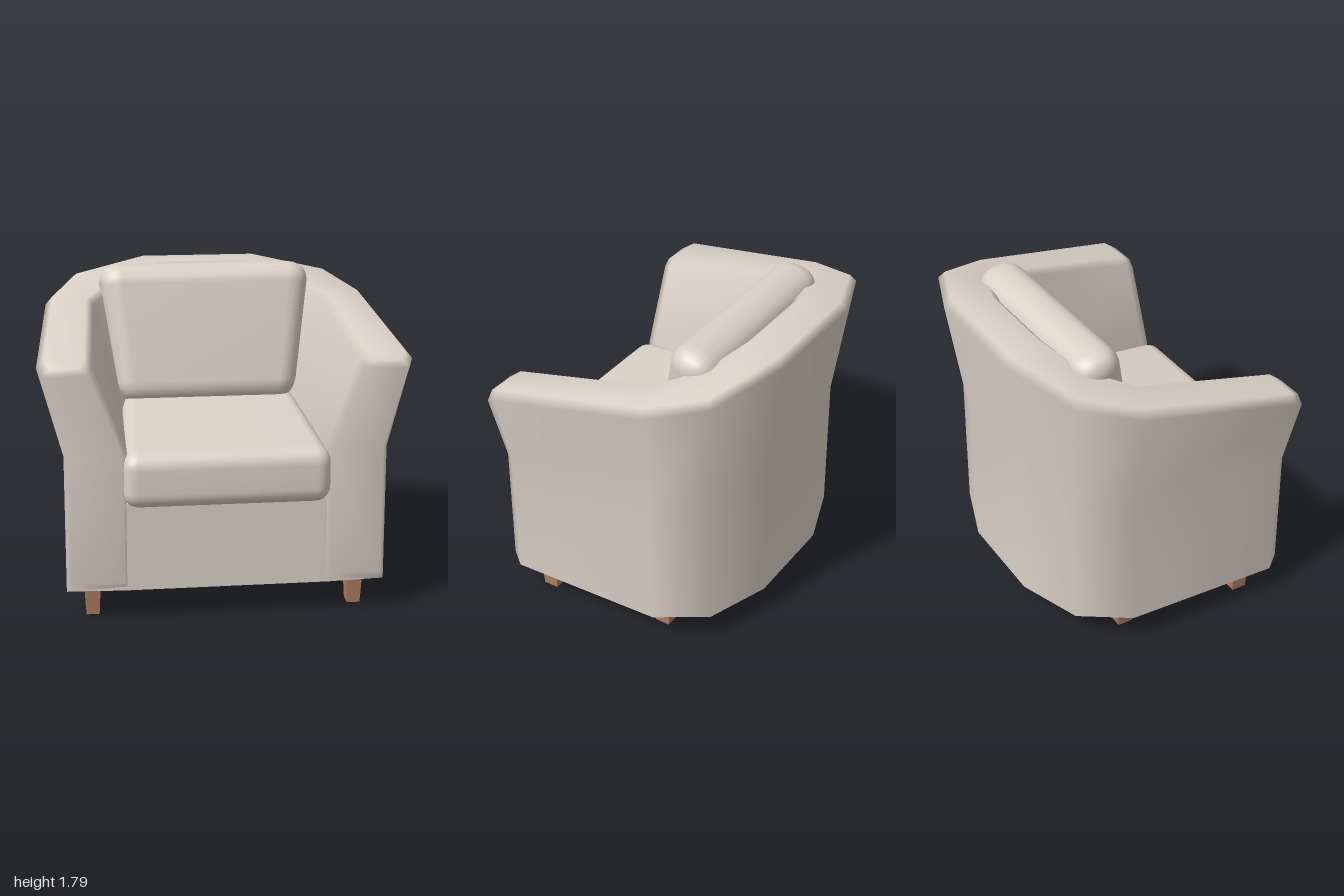
import * as THREE from 'three';
import { mergeVertices } from 'three/addons/utils/BufferGeometryUtils.js';
import { RoundedBoxGeometry } from 'three/addons/geometries/RoundedBoxGeometry.js';

const BOTTOM = 0.17;

// Half of the U-shaped wall, front to back: [x, z] of each edge and the top height
const stations = [
  { foot: [0.87, 0.65], rim: [1.0, 0.63], innerRim: [0.71, 0.64], innerFoot: [0.535, 0.65], top: 1.45, waist: 0.93 },
  { foot: [0.83, -0.25], rim: [0.925, -0.27], innerRim: [0.66, -0.16], innerFoot: [0.5, -0.08], top: 1.62, waist: 0.95 },
  { foot: [0.65, -0.52], rim: [0.77, -0.58], innerRim: [0.5, -0.37], innerFoot: [0.4, -0.26], top: 1.7, waist: 0.98 },
  { foot: [0.285, -0.648], rim: [0.345, -0.748], innerRim: [0.23, -0.47], innerFoot: [0.2, -0.36], top: 1.775, waist: 1.0 },
];

// Closed cross-section: up the outside, over the rounded rim, down the inside
function section({ foot, rim, innerRim, innerFoot, top, waist }) {
  const a = new THREE.Vector2(...rim), b = new THREE.Vector2(...innerRim);
  const inset = b.clone().sub(a).setLength(0.04);
  const p = (v, y) => new THREE.Vector3(v.x, y, v.y);
  const f = new THREE.Vector2(...foot), g = new THREE.Vector2(...innerFoot);
  return [
    p(f, BOTTOM), p(f, waist), p(a, top - 0.045), p(a.clone().add(inset), top),
    p(b.clone().sub(inset), top), p(b, top - 0.035), p(g, waist), p(g, BOTTOM),
  ];
}

// Slightly smaller section that rounds off the front of an arm
function armFront(ring) {
  return ring.map((v, i) => {
    const x = v.x + (i < 4 ? -0.03 : 0.025);
    const y = i === 0 || i === 7 ? v.y + 0.06 : i > 1 && i < 6 ? v.y - 0.04 : v.y;
    return new THREE.Vector3(x, y, 0.708 - 0.01 * y);
  });
}

function wallGeometry() {
  const half = stations.map(section);
  half.unshift(armFront(half[0]));
  const mirrored = half.map((r) => r.map((v) => new THREE.Vector3(-v.x, v.y, v.z))).reverse();
  const rings = [...half, ...mirrored];
  const last = rings.length - 1;
  const index = [];
  const quad = (a, b, c, d) => index.push(a, b, c, a, c, d);
  for (let s = 0; s < last; s++) {
    const sides = s === 0 || s === last - 1 ? 8 : 7;
    for (let j = 0; j < sides; j++) {
      const k = (j + 1) % 8;
      quad(s * 8 + j, s * 8 + 8 + j, s * 8 + 8 + k, s * 8 + k);
    }
  }
  // front faces of both arms
  for (let k = 0; k < 3; k++) {
    const e = last * 8;
    quad(k, k + 1, 6 - k, 7 - k);
    quad(e + 7 - k, e + 6 - k, e + k + 1, e + k);
  }
  const geo = new THREE.BufferGeometry().setFromPoints(rings.flat());
  geo.setIndex(index);
  geo.computeVertexNormals();
  return geo;
}

// Solid seat base following the foot of the wall, its front panel between the arms
function baseGeometry() {
  const side = stations.map((s) => new THREE.Vector2(s.foot[0] * 0.998, -s.foot[1] * 0.995));
  side.unshift(new THREE.Vector2(0.56, -0.67));
  const outline = [...side, ...side.map((v) => new THREE.Vector2(-v.x, v.y)).reverse()];
  const geo = new THREE.ExtrudeGeometry(new THREE.Shape(outline), { depth: 0.49, bevelEnabled: false });
  return geo.rotateX(-Math.PI / 2).translate(0, BOTTOM, 0);
}

// Rounded box reshaped by a rule, with smooth normals
function cushionGeometry(w, h, d, radius, reshape) {
  let geo = new RoundedBoxGeometry(w, h, d, 3, radius);
  geo.deleteAttribute('uv');
  geo.deleteAttribute('normal');
  geo.clearGroups();
  geo = mergeVertices(geo, 1e-4);
  const pos = geo.attributes.position;
  const v = new THREE.Vector3();
  for (let i = 0; i < pos.count; i++) {
    v.fromBufferAttribute(pos, i);
    reshape(v);
    pos.setXYZ(i, v.x, v.y, v.z);
  }
  geo.computeVertexNormals();
  return geo;
}

export function createModel() {
  const fabric = new THREE.MeshStandardMaterial({ color: 0xdad0c6 });
  fabric.name = 'fabric';
  const wood = new THREE.MeshStandardMaterial({ color: 0xb07f62 });
  wood.name = 'wood';

  const chair = new THREE.Group();
  chair.name = 'armchair';
  const add = (name, geo, mat, x = 0, y = 0, z = 0) => {
    const mesh = new THREE.Mesh(geo, mat);
    mesh.name = name;
    mesh.position.set(x, y, z);
    chair.add(mesh);
    return mesh;
  };

  add('armsAndBack', wallGeometry(), fabric);
  add('seatBase', baseGeometry(), fabric);

  // seat cushion: narrower and higher towards the back
  const seat = cushionGeometry(1.13, 0.3, 1.1, 0.085, (v) => {
    const back = 0.55 - v.z;
    v.x *= 1 - 0.12 * back;
    if (v.y > 0) v.y += 0.135 * back;
  });
  add('seatCushion', seat, fabric, 0, 0.79, 0.197);

  // back cushion: wider at the top, leaning back
  const rest = cushionGeometry(1.13, 0.8, 0.28, 0.12, (v) => { v.x *= 1 + 0.25 * v.y; });
  add('backCushion', rest, fabric, -0.012, 1.395, -0.25).rotation.x = -0.22;

  // tapered square legs
  const leg = new THREE.CylinderGeometry(Math.SQRT1_2, Math.SQRT1_2 * 0.8, BOTTOM, 4).rotateY(Math.PI / 4).toNonIndexed();
  leg.scale(0.088, 1, 0.11);
  leg.computeVertexNormals();
  for (const s of [1, -1]) {
    add('frontLeg', leg, wood, s * 0.727, BOTTOM / 2, 0.52);
    add('rearLeg', leg, wood, s * 0.643, BOTTOM / 2, -0.21);
  }
  return chair;
}
